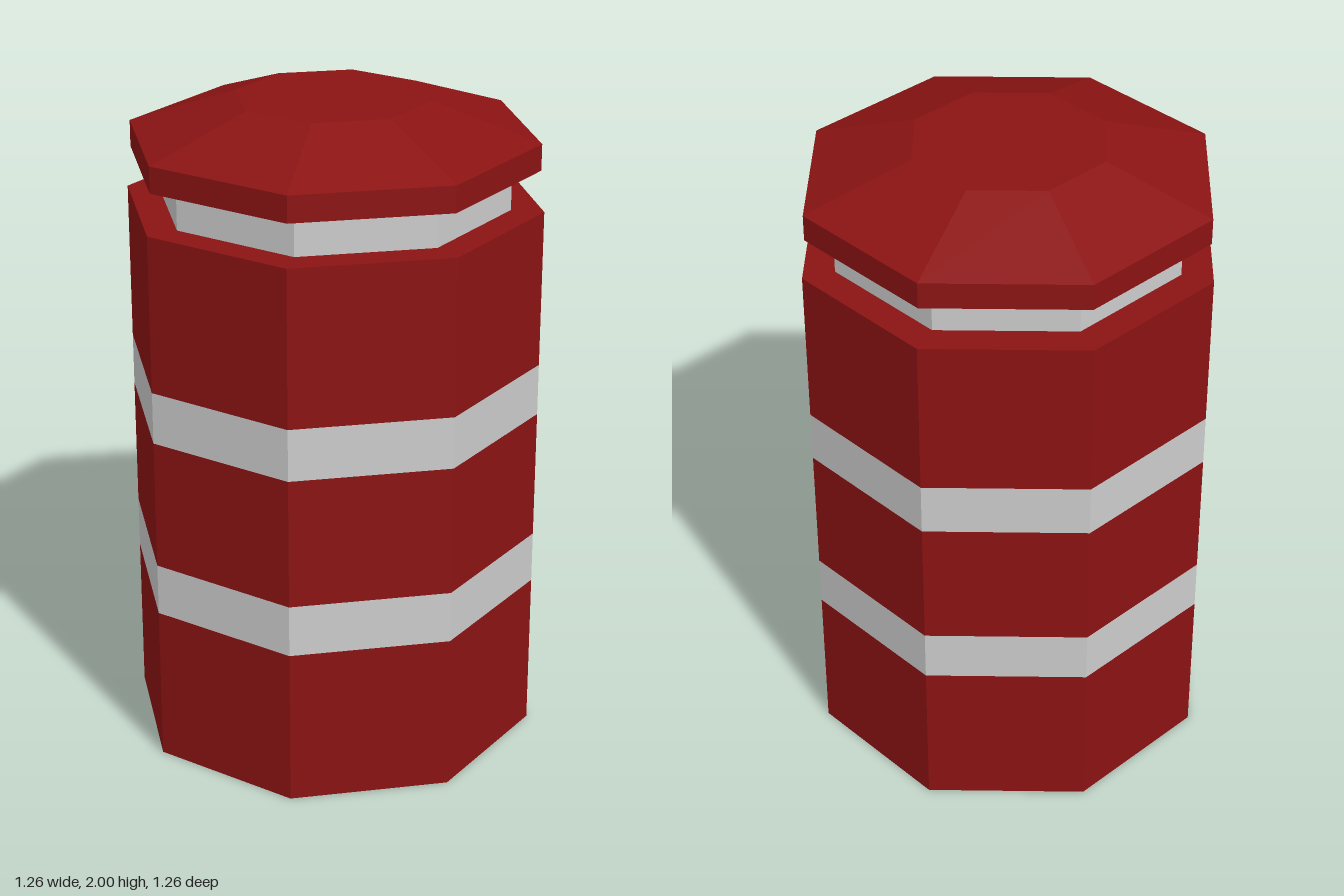
import * as THREE from 'three';

const SIDES = 8;
const STEP = (Math.PI * 2) / SIDES;

const makeMat = (color) => new THREE.MeshStandardMaterial({ color, flatShading: true });

export function createModel() {
  const model = new THREE.Group();
  model.name = 'trafficDrum';

  const red = makeMat(0x8b1313);
  const grey = makeMat(0xcccccc);
  const stained = makeMat(0xbfadab);

  // Octagonal section between two heights, with corners on the axes
  function section(name, mat, y0, y1, rBottom, rTop = rBottom, open = false, start = 0, sides = SIDES) {
    const geo = new THREE.CylinderGeometry(rTop, rBottom, y1 - y0, sides, 1, open, start * STEP, sides * STEP);
    const mesh = new THREE.Mesh(geo, mat);
    mesh.name = name;
    mesh.position.y = (y0 + y1) / 2;
    model.add(mesh);
    return mesh;
  }

  // Main body, split by the reflective bands
  const R = 0.63;
  section('lowerBody', red, 0, 0.485, R);
  section('middleBody', red, 0.645, 1.045, R);
  section('upperBody', red, 1.205, 1.685, R);

  // Reflective bands, flush with the body; one panel of the lower band is stained
  section('upperBand', grey, 1.045, 1.205, R, R, true);
  section('lowerBand', grey, 0.485, 0.645, R, R, true, 2, 7);
  section('lowerBandStainedPanel', stained, 0.485, 0.645, R, R, true, 1, 1);

  // Recessed neck under the lid
  section('neck', grey, 1.685, 1.81, 0.532, 0.532, true);

  // Lid: vertical rim and sloped top
  section('lidRim', red, 1.81, 1.89, 0.617);
  section('lidTop', red, 1.89, 2, 0.617, 0.295);

  return model;
}
